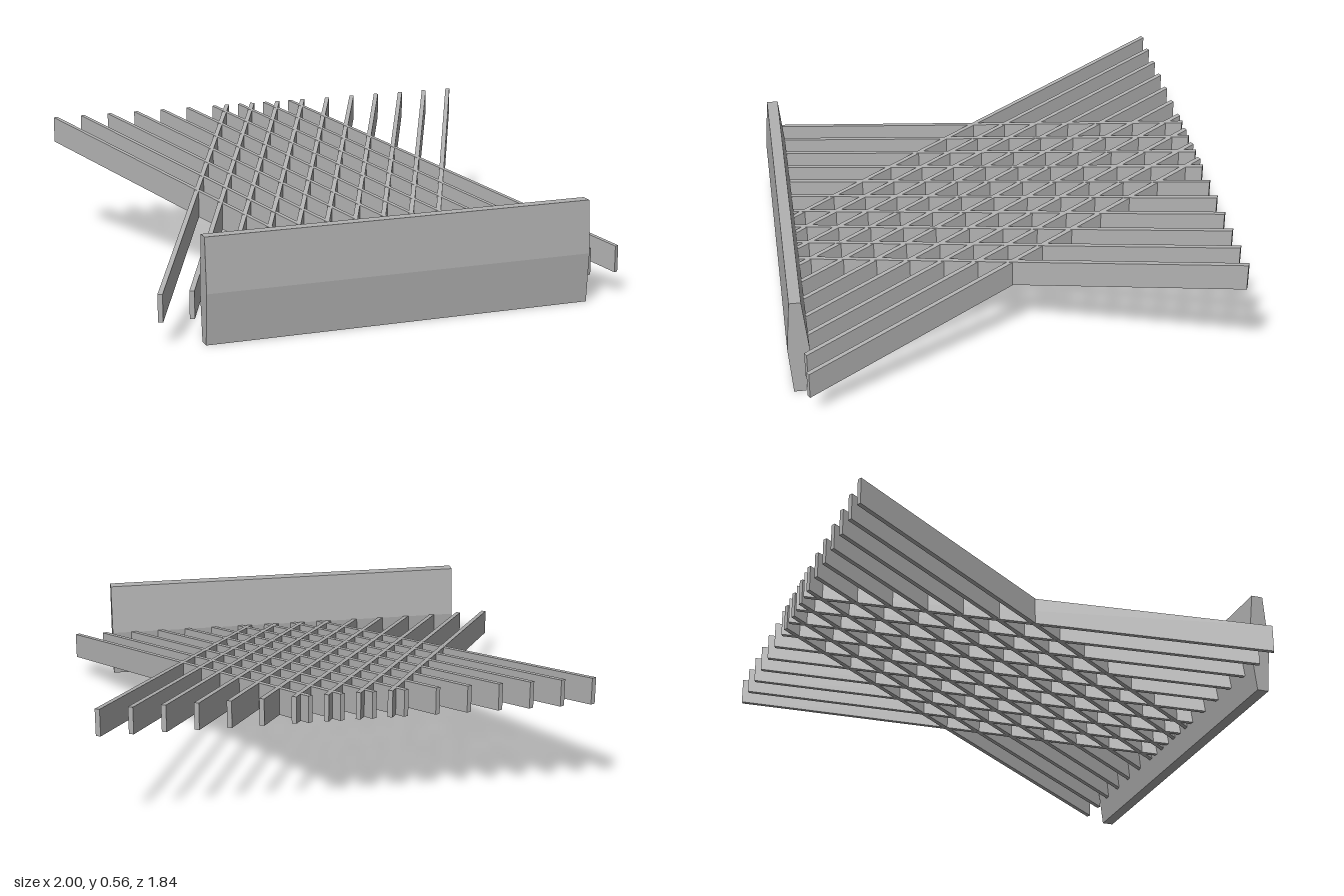
import * as THREE from 'three';

const steel = new THREE.MeshStandardMaterial({ color: 0xb2b2b2 });
steel.name = 'grey';

// Sloping slat with vertical ends: a box sheared upward towards the back
function slatGeometry(run, depth) {
  const length = Math.hypot(run, depth);
  const geo = new THREE.BoxGeometry(0.02, 0.114, length);
  const pos = geo.attributes.position;
  const slope = -0.346 / length;
  for (let i = 0; i < pos.count; i++) pos.setY(i, pos.getY(i) + pos.getZ(i) * slope);
  geo.computeVertexNormals();
  return geo;
}

export function createModel() {
  const model = new THREE.Group();
  model.name = 'crossedSlatRack';

  // Front board with a hexagonal section, widest at mid height
  const section = new THREE.Shape([
    [0.903, 0], [0.92, 0.212], [0.903, 0.436],
    [0.854, 0.436], [0.83, 0.212], [0.854, 0],
  ].map(([z, y]) => new THREE.Vector2(-z, y)));
  const boardGeo = new THREE.ExtrudeGeometry(section, { depth: 1.65, bevelEnabled: false });
  boardGeo.translate(0, 0, -0.825).rotateY(Math.PI / 2);
  // The section's -x now points to +z and its depth runs along x
  const board = new THREE.Mesh(boardGeo, steel);
  board.name = 'frontBoard';
  model.add(board);

  // Two mirrored families of ten slats crossing in a lattice
  const run = 0.832, depth = 1.766, count = 10;
  const geo = slatGeometry(run, depth);
  for (const side of [1, -1]) {
    const family = new THREE.Group();
    family.name = side > 0 ? 'leftwardSlats' : 'rightwardSlats';
    for (let i = 0; i < count; i++) {
      const slat = new THREE.Mesh(geo, steel);
      slat.name = 'slat';
      slat.position.set(side * (-0.575 + (1.15 * i) / (count - 1)), 0.326, -0.033);
      slat.rotation.y = side * Math.atan2(run, depth);
      family.add(slat);
    }
    model.add(family);
  }
  return model;
}
